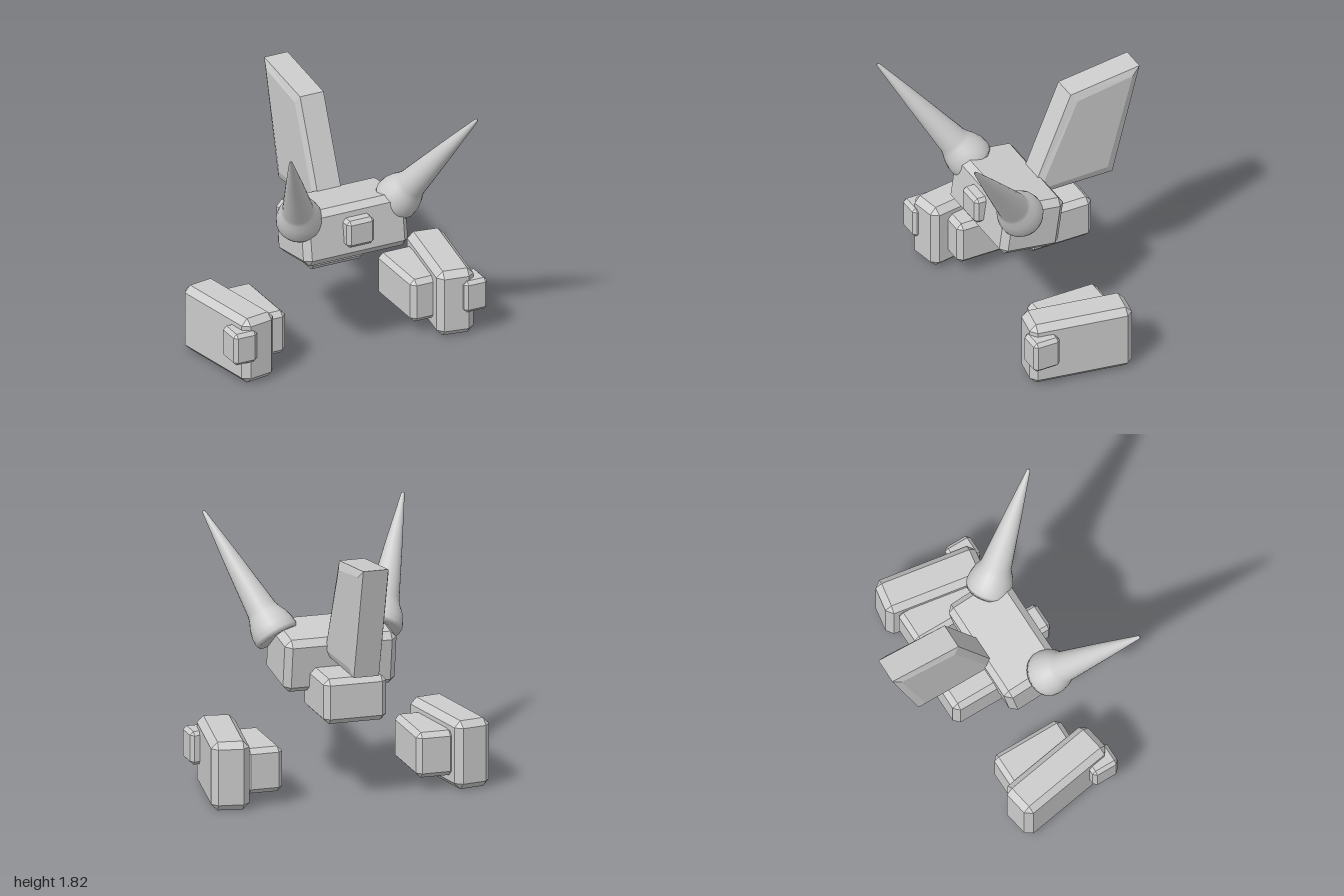
import * as THREE from 'three';
import { ConvexGeometry } from 'three/addons/geometries/ConvexGeometry.js';

const grey = new THREE.MeshStandardMaterial({ color: 0xcccccc });
grey.name = 'light grey';

// Box with every edge cut by one chamfer c
function chamferBox(w, h, d, c) {
  const half = [w / 2, h / 2, d / 2];
  const points = [];
  for (const sx of [-1, 1]) for (const sy of [-1, 1]) for (const sz of [-1, 1]) {
    for (let axis = 0; axis < 3; axis++) {
      const p = half.map((v, i) => (i === axis ? v : v - c));
      points.push(new THREE.Vector3(sx * p[0], sy * p[1], sz * p[2]));
    }
  }
  return new ConvexGeometry(points);
}

export function createModel() {
  const model = new THREE.Group();
  const add = (name, geometry, x, y, z) => {
    const mesh = new THREE.Mesh(geometry, grey);
    mesh.name = name;
    mesh.position.set(x, y, z);
    model.add(mesh);
    return mesh;
  };

  // Head, tilted up at the front, with its snout and the body behind
  add('head', chamferBox(0.8, 0.385, 0.455, 0.045), 0, 0.93, 0.175).rotation.x = -0.14;
  add('snout', chamferBox(0.21, 0.2, 0.2, 0.025), 0, 0.97, 0.37);
  add('body', chamferBox(0.45, 0.32, 0.495, 0.04), 0, 0.73, -0.128);

  // Raked fin: outline in (z, y), bevelled towards both sides
  const outline = [[0.04, 0.96], [-0.59, 0.96], [-0.8, 1.775], [-0.27, 1.705]];
  const fin = new THREE.ExtrudeGeometry(
    new THREE.Shape(outline.map(([z, y]) => new THREE.Vector2(-z, y))),
    { depth: 0.18, bevelThickness: 0.02, bevelSize: 0.06, bevelOffset: -0.06, bevelSegments: 1 }
  );
  fin.translate(0, 0, -0.09);
  fin.rotateY(Math.PI / 2);
  add('fin', fin, 0, 0, 0);

  // Horn profile from the flat base to the tip
  const profile = [[0, 0], [0.15, 0], [0.16, 0.03], [0.157, 0.08], [0.14, 0.14], [0.118, 0.185],
    [0.107, 0.22], [0.06, 0.63], [0.012, 1.01], [0, 1.02]];
  const horn = new THREE.LatheGeometry(profile.map(([r, y]) => new THREE.Vector2(r, y)), 24);
  const up = new THREE.Vector3(0, 1, 0);

  for (const s of [-1, 1]) {
    const side = s > 0 ? 'left' : 'right';
    const dir = new THREE.Vector3(s * 0.349, 0.763, 0.541).normalize();
    const base = new THREE.Vector3(s * 0.717, 1.818, 0.797).addScaledVector(dir, -1.02);
    add(side + 'Horn', horn, base.x, base.y, base.z).quaternion.setFromUnitVectors(up, dir);

    // Floating foot: angled outer block, inner block and toe
    add(side + 'Foot', chamferBox(0.265, 0.485, 0.735, 0.045), s * 0.812, 0.2425, 0.065).rotation.y = -s * 0.165;
    add(side + 'InnerFoot', chamferBox(0.27, 0.32, 0.535, 0.035), s * 0.615, 0.25, 0.022);
    add(side + 'Toe', chamferBox(0.18, 0.235, 0.2, 0.025), s * 0.885, 0.292, 0.37);
  }
  return model;
}
